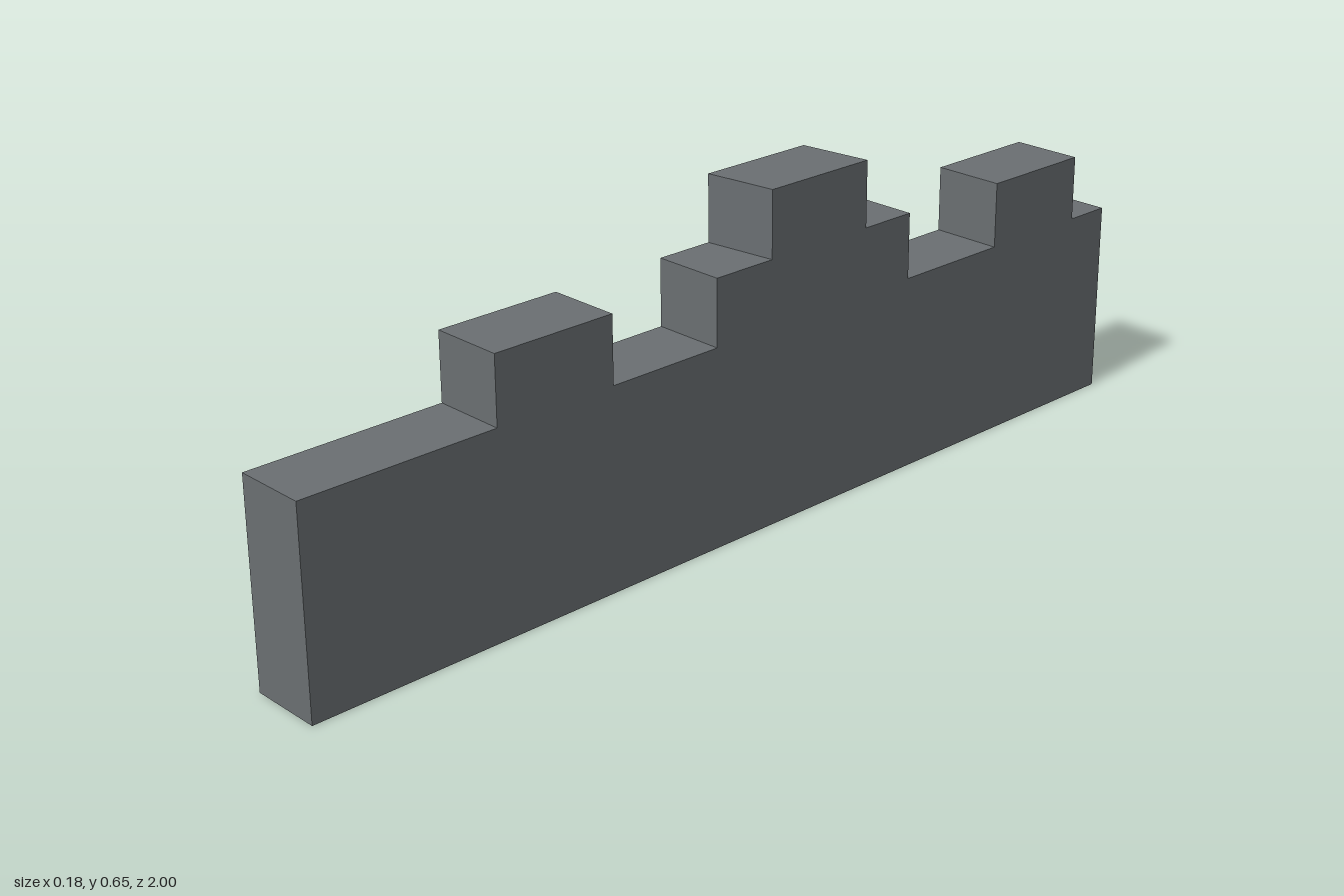
import * as THREE from 'three';

const THICK = 0.146, LOW = 0.39, MID = 0.52, HIGH = 0.65;

// Stepped top edge from front to back: [z, y]
const TOP_EDGE = [
  [1, LOW],
  [0.605, LOW], [0.605, MID], [0.35, MID], [0.35, LOW],
  [0.105, LOW], [0.105, MID],
  [-0.023, MID], [-0.023, HIGH], [-0.27, HIGH], [-0.27, MID],
  [-0.4, MID], [-0.4, LOW],
  [-0.655, LOW], [-0.655, MID], [-0.9, MID], [-0.9, LOW],
  [-1, LOW],
];

export function createModel() {
  const group = new THREE.Group();
  group.name = 'battlementWall';
  const stone = new THREE.MeshStandardMaterial({ color: 0x6a6f72 });
  stone.name = 'slate grey stone';

  // Side silhouette, extruded through the wall's thickness
  const outline = [[1, 0], ...TOP_EDGE, [-1, 0]].reverse();
  const shape = new THREE.Shape(outline.map(([z, y]) => new THREE.Vector2(-z, y)));
  const geo = new THREE.ExtrudeGeometry(shape, { depth: THICK, bevelEnabled: false });
  geo.rotateY(Math.PI / 2).translate(-THICK / 2, 0, 0);

  // Skew the tallest block's ends, then lean the whole wall off the z axis
  const p = geo.attributes.position;
  for (let i = 0; i < p.count; i++) {
    const x = p.getX(i);
    let z = p.getZ(i);
    if (z < 0 && z > -0.3) z -= 0.12 * x;
    p.setXYZ(i, x + 0.017 * z, p.getY(i), z);
  }
  geo.computeVertexNormals();

  const wall = new THREE.Mesh(geo, stone);
  wall.name = 'crenellatedWall';
  group.add(wall);
  return group;
}
